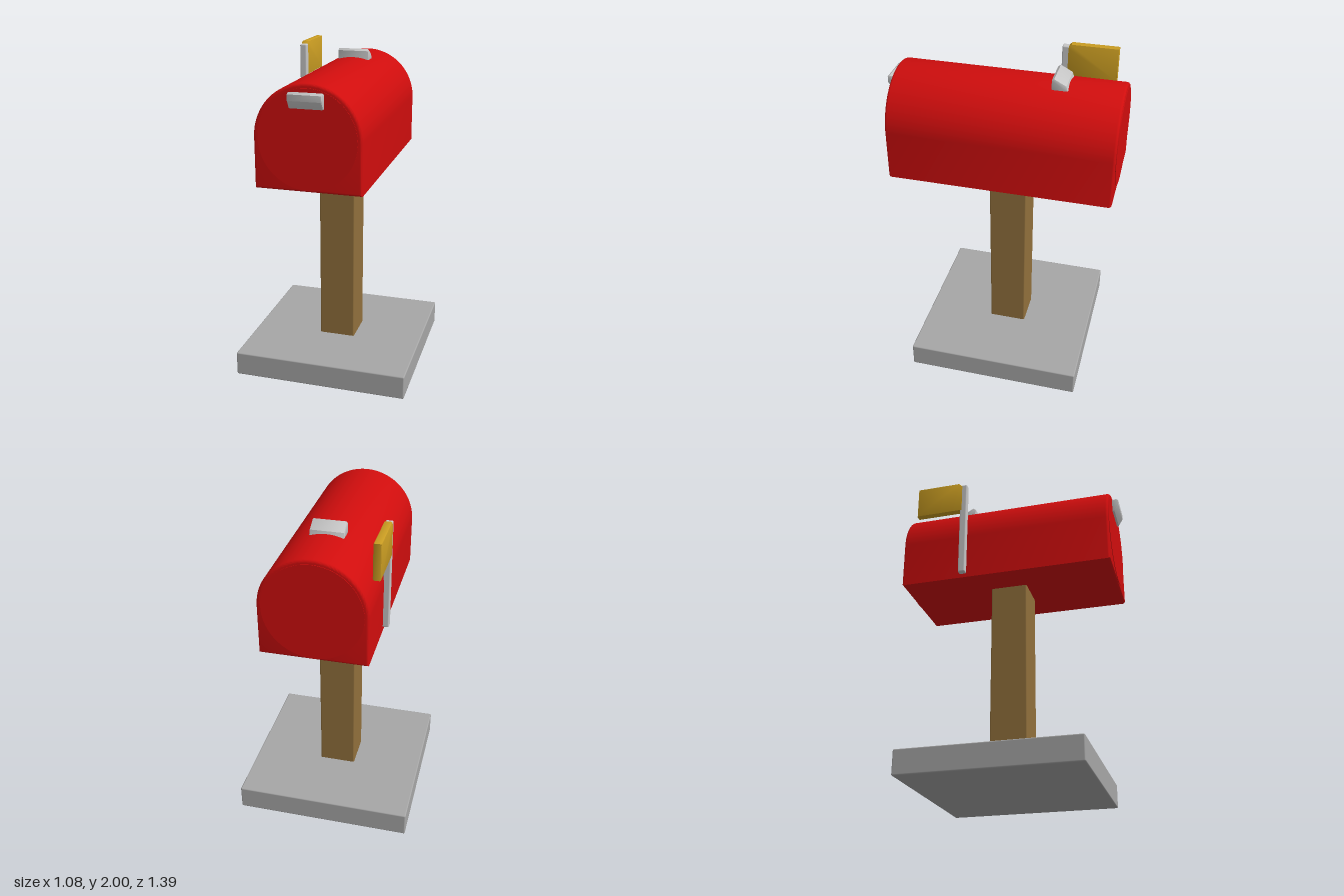
import * as THREE from 'three';
import { toCreasedNormals } from 'three/addons/utils/BufferGeometryUtils.js';
import { RoundedBoxGeometry } from 'three/addons/geometries/RoundedBoxGeometry.js';

const material = (name, color) => {
  const m = new THREE.MeshStandardMaterial({ color });
  m.name = name;
  return m;
};

export function createModel() {
  const red = material('red paint', 0xd00d0d);
  const wood = material('brown wood', 0x91703c);
  const stone = material('grey stone', 0xa6a6a6);
  const metal = material('light metal', 0xc6c6c6);
  const yellow = material('yellow flag paint', 0xc99c22);

  const group = new THREE.Group();
  group.name = 'mailbox';
  const add = (name, geometry, mat) => {
    const mesh = new THREE.Mesh(geometry, mat);
    mesh.name = name;
    group.add(mesh);
    return mesh;
  };
  // Softened box given by its extents on each axis
  const block = (name, [x0, x1], [y0, y1], [z0, z1], r, mat) =>
    add(name, new RoundedBoxGeometry(x1 - x0, y1 - y0, z1 - z0, 2, r), mat)
      .position.set((x0 + x1) / 2, (y0 + y1) / 2, (z0 + z1) / 2);
  // Side profile of [z, y] points, extruded across x
  const wedge = (name, points, halfWidth, mat) => {
    const b = 0.008;
    const shape = new THREE.Shape(points.map(([z, y]) => new THREE.Vector2(-z, y)));
    const g = new THREE.ExtrudeGeometry(shape, {
      depth: 2 * (halfWidth - b), bevelThickness: b, bevelSize: b, bevelOffset: -b, bevelSegments: 2,
    });
    g.translate(0, 0, -halfWidth + b);
    g.rotateY(Math.PI / 2);
    return add(name, toCreasedNormals(g, 0.6), mat);
  };

  // Base slab and post
  block('base', [-0.54, 0.54], [0, 0.15], [-0.575, 0.5], 0.008, stone);
  block('post', [-0.113, 0.113], [0.13, 1.33], [-0.15, 0.08], 0.008, wood);

  // Arched body with softened end rims
  const R = 0.31, springY = 1.605, bottom = 1.31, front = 0.65, back = -0.69, bevel = 0.015;
  const arch = new THREE.Shape();
  arch.moveTo(-R, bottom);
  arch.lineTo(R, bottom);
  arch.lineTo(R, springY);
  arch.absarc(0, springY, R, 0, Math.PI, false);
  arch.lineTo(-R, bottom);
  const body = new THREE.ExtrudeGeometry(arch, {
    depth: front - back - 2 * bevel, curveSegments: 40,
    bevelThickness: bevel, bevelSize: bevel, bevelOffset: -bevel, bevelSegments: 3,
  });
  body.translate(0, 0, back + bevel);
  add('body', toCreasedNormals(body, 0.7), red);

  // Round pressed panels on both ends
  for (const [name, z] of [['frontPanel', front], ['backPanel', back]]) {
    const panel = new THREE.CylinderGeometry(0.285, 0.285, 0.006, 48);
    panel.rotateX(Math.PI / 2);
    add(name, panel, red).position.set(0, springY, z);
  }

  // Door pull and top catch
  wedge('doorPull', [[0.64, 1.775], [0.665, 1.78], [0.693, 1.825], [0.693, 1.86], [0.68, 1.87], [0.64, 1.865]], 0.098, metal);
  wedge('topCatch', [[-0.28, 1.89], [-0.28, 1.955], [-0.295, 1.967], [-0.365, 1.93], [-0.378, 1.89]], 0.098, metal);

  // Flag arm on the right side, flag pointing backwards
  block('flagArm', [-0.345, -0.302], [1.335, 1.985], [-0.305, -0.26], 0.008, metal);
  const flag = wedge('flag', [[-0.29, 1.79], [-0.29, 1.975], [-0.315, 2.0], [-0.597, 2.0], [-0.597, 1.79]], 0.023, yellow);
  flag.position.x = -0.325;

  return group;
}
